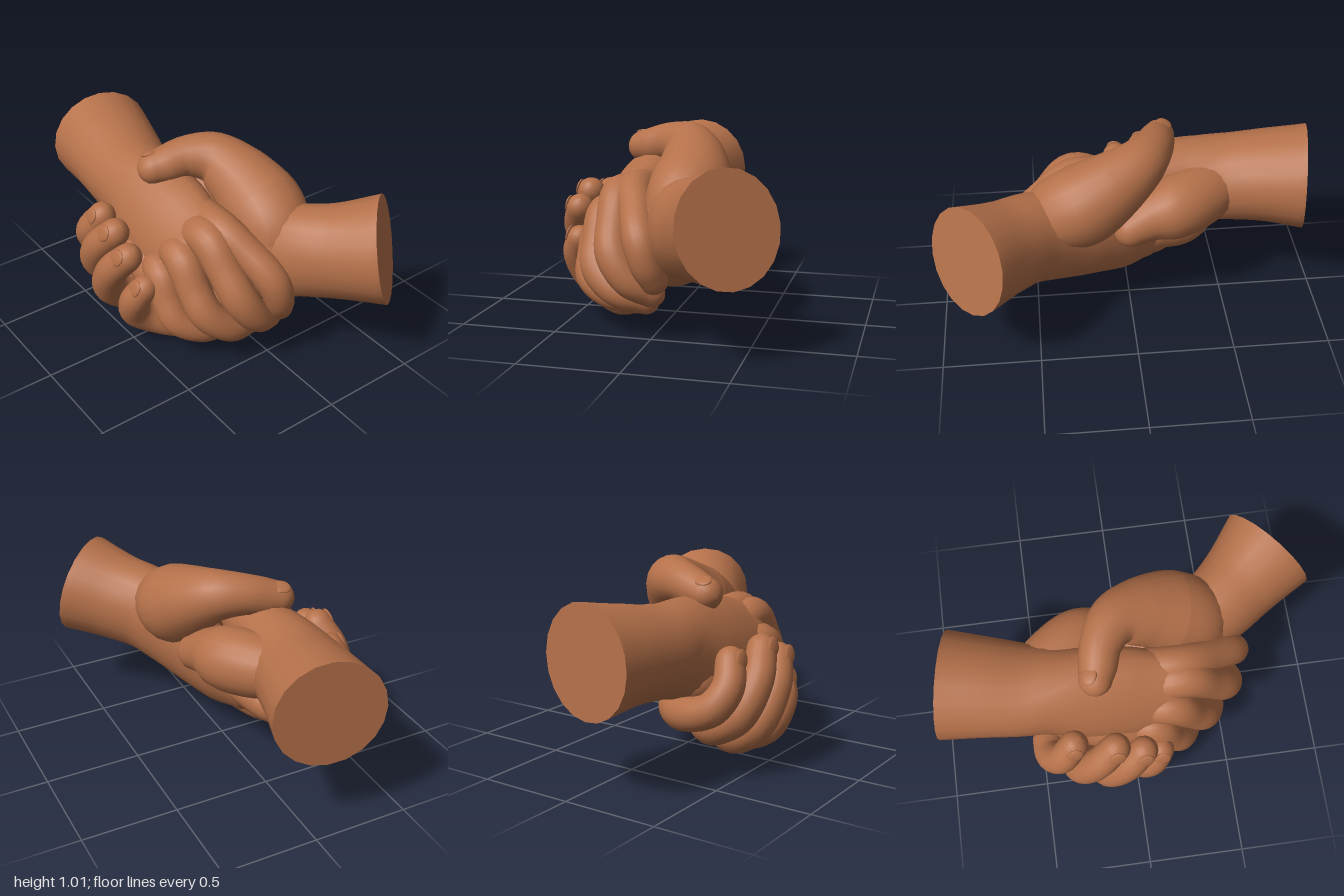
import * as THREE from 'three';

const skin = new THREE.MeshStandardMaterial({ color: 0xb5714a });
skin.name = 'skin';

const SIDES = 20;
const v3 = (p) => new THREE.Vector3(p[0], p[1], p[2]);

// Lofts elliptical rings through sections [x, y, z, half height, half depth, tilt].
// The start is a flat cut or a dome; the end is always a dome.
function loft(sections, { flatStart = false, up = [0, 1, 0] } = {}) {
  const path = new THREE.CatmullRomCurve3(sections.map(v3));
  const size = new THREE.CatmullRomCurve3(
    sections.map((s) => new THREE.Vector3(s[3], s[4] ?? s[3], s[5] ?? 0)), false, 'catmullrom', 0.5);
  const steps = (sections.length - 1) * 6;
  const rings = [];
  const N = v3(up);
  for (let i = 0; i <= steps; i++) {
    const t = i / steps;
    const T = path.getTangent(t).normalize();
    N.addScaledVector(T, -N.dot(T)).normalize();
    const B = T.clone().cross(N);
    const r = size.getPoint(t);
    const n = N.clone().multiplyScalar(Math.cos(r.z)).addScaledVector(B, Math.sin(r.z));
    rings.push({ c: path.getPoint(t), T, n, b: T.clone().cross(n), a: r.x, d: r.y });
  }
  const dome = (ring, sign) => [1, 2, 3, 4, 5].map((k) => {
    const w = (k / 5) * Math.PI / 2;
    const reach = Math.min(ring.a, ring.d) * Math.sin(w) * sign;
    return { ...ring, c: ring.c.clone().addScaledVector(ring.T, reach), a: ring.a * Math.cos(w), d: ring.d * Math.cos(w) };
  });
  const all = [
    ...(flatStart ? [] : dome(rings[0], -1).reverse()),
    ...rings,
    ...dome(rings[steps], 1),
  ];

  const pos = [], index = [];
  const addRing = (r) => {
    for (let j = 0; j < SIDES; j++) {
      const w = (j / SIDES) * Math.PI * 2;
      const p = r.c.clone().addScaledVector(r.n, r.a * Math.cos(w)).addScaledVector(r.b, r.d * Math.sin(w));
      pos.push(p.x, p.y, p.z);
    }
  };
  all.forEach(addRing);
  for (let i = 0; i < all.length - 1; i++) {
    for (let j = 0; j < SIDES; j++) {
      const k = (j + 1) % SIDES;
      const a = i * SIDES + j, b = i * SIDES + k;
      index.push(a, b, a + SIDES, b, b + SIDES, a + SIDES);
    }
  }
  // flat cut with its own vertices so the rim stays sharp
  if (flatStart) {
    const base = pos.length / 3;
    addRing(all[0]);
    pos.push(...all[0].c.toArray());
    for (let j = 0; j < SIDES; j++) index.push(base + SIDES, base + (j + 1) % SIDES, base + j);
  }
  const geo = new THREE.BufferGeometry();
  geo.setAttribute('position', new THREE.Float32BufferAttribute(pos, 3));
  geo.setIndex(index);
  geo.computeVertexNormals();
  return geo;
}

function part(group, name, sections, options) {
  const mesh = new THREE.Mesh(loft(sections, options), skin);
  mesh.name = name;
  group.add(mesh);
}

// Fingernail: a flattened dome on the outer side of a fingertip
function nail(group, name, sections, out) {
  const tip = v3(sections[sections.length - 1]);
  const along = tip.clone().sub(v3(sections[sections.length - 2])).normalize();
  const o = v3(out);
  o.addScaledVector(along, -o.dot(along)).normalize();
  const mesh = new THREE.Mesh(new THREE.SphereGeometry(1, 14, 8), skin);
  mesh.name = name;
  mesh.applyMatrix4(new THREE.Matrix4().makeBasis(along.clone().cross(o), along, o));
  mesh.scale.set(0.042, 0.05, 0.012);
  mesh.position.copy(tip).addScaledVector(o, sections[sections.length - 1][3] * 0.92);
  group.add(mesh);
}

export function createModel() {
  const model = new THREE.Group();
  model.name = 'handshake';

  // Hand reaching in from -x, its back towards the front
  const handA = new THREE.Group();
  handA.name = 'firstHand';
  model.add(handA);
  part(handA, 'firstForearmAndPalm', [
    [-0.935, 0.66, 0.08, 0.275, 0.28, 0],
    [-0.75, 0.655, 0.115, 0.245, 0.26, 0],
    [-0.55, 0.635, 0.15, 0.228, 0.24, -0.05],
    [-0.4, 0.62, 0.17, 0.24, 0.22, -0.25],
    [-0.22, 0.6, 0.2, 0.268, 0.195, -0.5],
    [0, 0.575, 0.22, 0.27, 0.165, -0.55],
    [0.18, 0.57, 0.235, 0.235, 0.125, -0.55],
  ], { flatStart: true });
  part(handA, 'firstPalmHeel', [
    [-0.32, 0.48, 0.28, 0.12], [-0.1, 0.42, 0.32, 0.14], [0.08, 0.34, 0.32, 0.13], [0.18, 0.29, 0.28, 0.11],
  ]);
  part(handA, 'firstThumb', [
    [-0.5, 0.64, 0.1, 0.14], [-0.36, 0.63, 0, 0.165], [-0.22, 0.62, -0.085, 0.165],
    [-0.1, 0.595, -0.115, 0.13], [0, 0.555, -0.145, 0.1],
  ]);
  const fingersA = {
    Index: [[0.1, 0.69, 0.13, 0.095], [0.28, 0.7, 0.14, 0.095], [0.43, 0.625, 0.09, 0.085],
      [0.56, 0.51, 0.035, 0.085], [0.575, 0.395, 0, 0.078], [0.545, 0.315, -0.03, 0.07]],
    Middle: [[0.1, 0.62, 0.2, 0.1], [0.28, 0.675, 0.215, 0.1], [0.41, 0.555, 0.21, 0.09],
      [0.505, 0.425, 0.185, 0.09], [0.53, 0.3, 0.1, 0.08], [0.49, 0.235, 0, 0.07]],
    Ring: [[0.05, 0.52, 0.28, 0.09], [0.2, 0.565, 0.32, 0.095], [0.31, 0.43, 0.325, 0.087],
      [0.385, 0.32, 0.305, 0.087], [0.435, 0.215, 0.19, 0.077], [0.405, 0.17, 0.05, 0.068]],
    Little: [[0, 0.42, 0.34, 0.085], [0.11, 0.455, 0.385, 0.088], [0.19, 0.33, 0.4, 0.082],
      [0.25, 0.235, 0.385, 0.082], [0.315, 0.16, 0.26, 0.072], [0.3, 0.135, 0.13, 0.064]],
  };
  for (const [name, s] of Object.entries(fingersA)) {
    part(handA, `first${name}Finger`, s, { up: [0.72, 0.9, -0.48] });
  }

  // Hand reaching in from the back at +x, wrapping underneath
  const handB = new THREE.Group();
  handB.name = 'secondHand';
  model.add(handB);
  part(handB, 'secondForearmAndPalm', [
    [0.825, 0.645, -0.45, 0.275, 0.267, 0],
    [0.66, 0.6, -0.31, 0.247, 0.222, 0],
    [0.52, 0.57, -0.2, 0.245, 0.2, 0.05],
    [0.37, 0.52, -0.125, 0.255, 0.18, 0.15],
    [0.2, 0.45, -0.06, 0.25, 0.16, 0.3],
    [0.02, 0.37, 0.02, 0.215, 0.14, 0.4],
    [-0.1, 0.335, 0.07, 0.165, 0.1, 0.4],
  ], { flatStart: true });
  const thumbB = [
    [0.4, 0.57, -0.1, 0.17], [0.35, 0.665, -0.13, 0.195], [0.24, 0.72, -0.14, 0.21],
    [0.08, 0.815, -0.115, 0.175], [-0.05, 0.885, -0.055, 0.134], [-0.125, 0.897, 0.058, 0.106],
    [-0.155, 0.875, 0.16, 0.097], [-0.175, 0.865, 0.225, 0.084],
  ];
  part(handB, 'secondThumb', thumbB);
  nail(handB, 'secondThumbNail', thumbB, [-0.4, 0.8, 0.2]);
  const fingersB = {
    Index: [[-0.12, 0.36, 0.06, 0.095], [-0.32, 0.315, 0.15, 0.092], [-0.44, 0.33, 0.3, 0.085],
      [-0.445, 0.38, 0.435, 0.084], [-0.39, 0.48, 0.49, 0.08], [-0.32, 0.59, 0.46, 0.073]],
    Middle: [[0, 0.28, 0.1, 0.095], [-0.18, 0.205, 0.23, 0.09], [-0.3, 0.24, 0.38, 0.085],
      [-0.305, 0.33, 0.505, 0.087], [-0.22, 0.49, 0.55, 0.082], [-0.115, 0.615, 0.51, 0.075]],
    Ring: [[0.08, 0.2, 0.12, 0.09], [-0.04, 0.127, 0.25, 0.088], [-0.155, 0.16, 0.415, 0.084],
      [-0.165, 0.25, 0.525, 0.087], [-0.07, 0.43, 0.565, 0.082], [0.025, 0.55, 0.525, 0.073]],
    Little: [[0.2, 0.17, 0.1, 0.085], [0.12, 0.087, 0.265, 0.084], [0.04, 0.13, 0.415, 0.079],
      [0.025, 0.2, 0.495, 0.081], [0.078, 0.32, 0.525, 0.077], [0.122, 0.405, 0.495, 0.068]],
  };
  for (const [name, s] of Object.entries(fingersB)) {
    part(handB, `second${name}Finger`, s, { up: [1, 0.3, 0.1] });
    nail(handB, `second${name}Nail`, s, [-0.1, 0.2, 1]);
  }
  return model;
}
